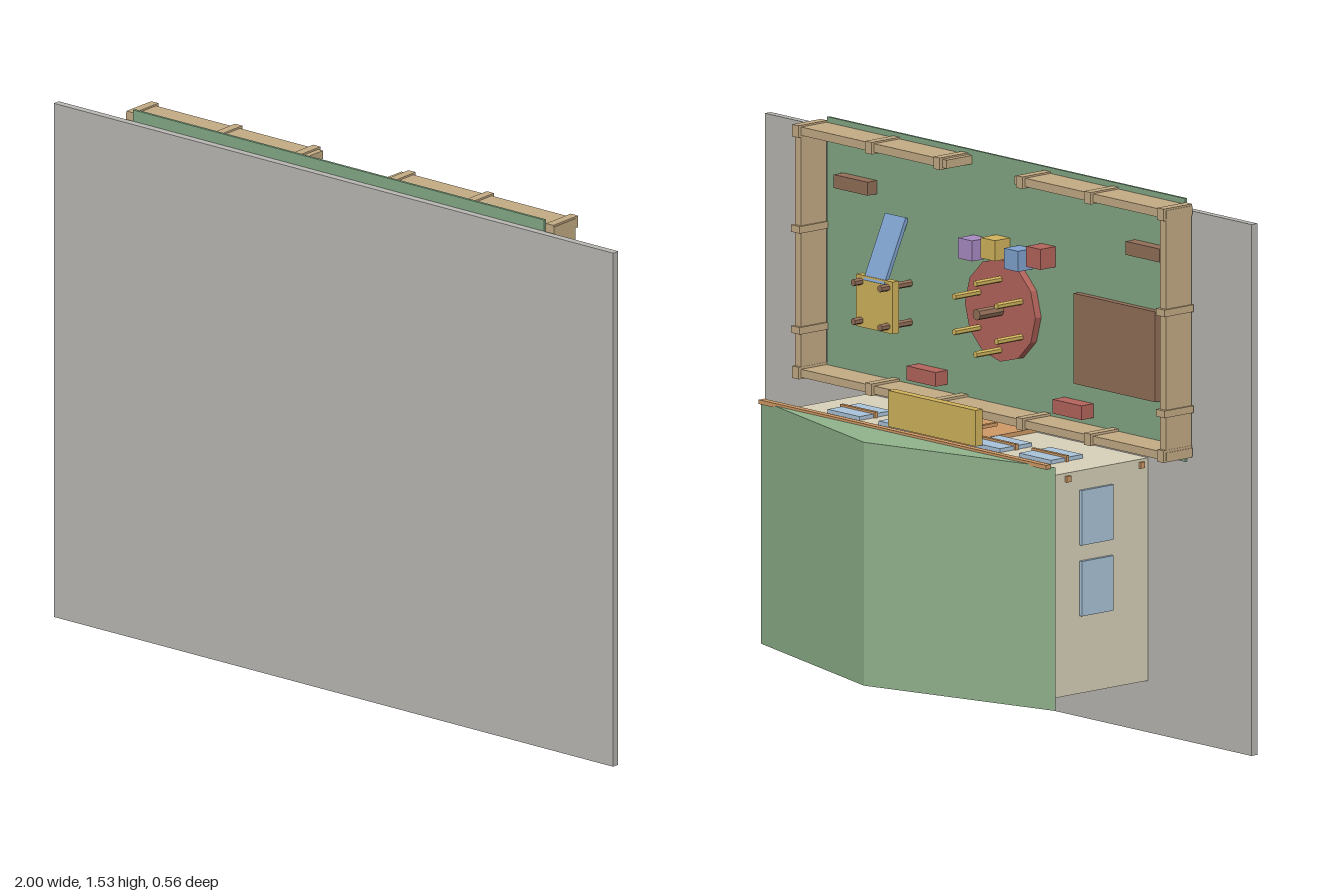
import * as THREE from 'three';

const C = {
  slab: 0xb9b7b2, lawn: 0x83a886, fence: 0xc4ab84, wall: 0xd8d1b9, roof: 0x90b38c,
  glass: 0xaac4da, wood: 0xd09a66, yellow: 0xd2b45c, brown: 0x936f58, red: 0xb5655c,
  blue: 0x7fa3cf, purple: 0xa98cc4, dark: 0x6b4a35,
};

export function createModel() {
  const model = new THREE.Group();
  const mats = {};
  const mat = (c) => (mats[c] ??= new THREE.MeshStandardMaterial({ color: C[c], flatShading: true }));
  const add = (name, color, geo) => {
    const m = new THREE.Mesh(geo, mat(color));
    m.name = name;
    model.add(m);
    return m;
  };
  // box given by its extents on each axis
  const box = (name, color, x0, x1, y0, y1, z0, z1) => {
    const m = add(name, color, new THREE.BoxGeometry(x1 - x0, y1 - y0, z1 - z0));
    m.position.set((x0 + x1) / 2, (y0 + y1) / 2, (z0 + z1) / 2);
    return m;
  };
  // same box on both sides of x = 0
  const pair = (name, color, x0, x1, ...rest) => {
    box(name, color, x0, x1, ...rest);
    box(name, color, -x1, -x0, ...rest);
  };
  // cylinder whose axis runs along z
  const rod = (name, color, r, x, y, z0, z1, sides) => {
    const m = add(name, color, new THREE.CylinderGeometry(r, r, z1 - z0, sides).rotateX(Math.PI / 2));
    m.position.set(x, y, (z0 + z1) / 2);
  };

  // The scene lies on its back: the ground is a plate at +z and "up" is -z
  box('groundSlab', 'slab', -1, 1, 0, 1.5, 0.258, 0.28);
  box('lawn', 'lawn', -0.735, 0.735, 0.79, 1.533, 0.25, 0.258);

  // House
  box('walls', 'wall', -0.575, 0.575, 0.146, 0.775, -0.115, 0.258);
  const gable = new THREE.Shape([[-0.605, 0.115], [0.605, 0.115], [0, 0.28]].map((p) => new THREE.Vector2(...p)));
  const roof = new THREE.ExtrudeGeometry(gable, { depth: 0.687, bevelEnabled: false }).rotateX(-Math.PI / 2);
  add('roof', 'roof', roof).position.y = 0.118;
  box('fascia', 'wood', -0.59, 0.59, 0.8, 0.812, -0.137, -0.117);
  for (const z of [-0.043, 0.232]) pair('wallBracket', 'wood', 0.57, 0.583, 0.75, 0.767, z - 0.008, z + 0.008);

  // Side windows
  for (const y of [0.365, 0.565]) pair('sideWindow', 'glass', 0.57, 0.585, y, y + 0.155, 0.002, 0.121);

  // Front windows with crossbars
  for (const x of [0.184, 0.393]) {
    pair('frontWindow', 'glass', x - 0.066, x + 0.066, 0.77, 0.786, 0.001, 0.12);
    pair('windowBar', 'wood', x - 0.072, x + 0.072, 0.77, 0.792, 0.053, 0.064);
  }

  // Door and canopy
  box('door', 'wood', -0.118, 0.118, 0.77, 0.787, 0, 0.256);
  box('doorWindow', 'glass', -0.048, 0.048, 0.78, 0.791, 0.04, 0.1);
  box('doorTrim', 'dark', -0.09, 0.09, 0.78, 0.791, 0.026, 0.032);
  box('canopy', 'yellow', -0.18, 0.18, 0.785, 0.887, -0.027, 0);
  pair('canopyPost', 'wood', 0.13, 0.142, 0.82, 0.83, 0, 0.09);

  // Coloured tiles above the door
  ['red', 'blue', 'yellow', 'wood'].forEach((c, i) => {
    const x = (i - 1.5) * 0.085;
    box('wallTile', c, x - 0.027, x + 0.027, 0.77, 0.788, -0.094, -0.055);
  });

  // Fence with a gap in the outer run
  box('innerFence', 'fence', -0.765, 0.765, 0.81, 0.833, 0.155, 0.251);
  pair('outerFence', 'fence', 0.14, 0.765, 1.493, 1.517, 0.155, 0.251);
  pair('sideFence', 'fence', 0.738, 0.762, 0.81, 1.517, 0.155, 0.251);
  const post = (x, y, w, d) => pair('fencePost', 'fence', x - w, x + w, y - d, y + d, 0.145, 0.252);
  for (const x of [0.17, 0.45, 0.75]) {
    post(x, 1.505, 0.013, 0.017);
    post(x, 0.823, 0.013, 0.017);
  }
  for (const y of [0.943, 1.228]) post(0.75, y, 0.018, 0.01);

  // Roundabout with centre post and handles
  const cy = 1.105;
  rod('roundabout', 'red', 0.145, 0, cy, 0.228, 0.25, 12);
  rod('roundaboutPost', 'brown', 0.016, 0, cy, 0.14, 0.23, 8);
  for (let i = 0; i < 6; i++) {
    const a = Math.PI / 6 + (i * Math.PI) / 3;
    rod('roundaboutHandle', 'yellow', 0.009, 0.1 * Math.cos(a), cy - 0.012 + 0.1 * Math.sin(a), 0.135, 0.23, 6);
  }

  // Play cubes
  [['purple', 0.105, 1.265], ['yellow', 0.012, 1.28], ['blue', -0.083, 1.265], ['red', -0.175, 1.285]]
    .forEach(([c, x, y]) => box('playCube', c, x - 0.029, x + 0.029, y - 0.029, y + 0.029, 0.193, 0.25));

  // Climbing tower and slide
  box('towerPlatform', 'yellow', 0.372, 0.522, 0.988, 1.135, 0.165, 0.188);
  for (const x of [0.392, 0.502]) for (const y of [1.007, 1.117]) rod('towerPost', 'brown', 0.01, x, y, 0.135, 0.25, 6);
  const slide = add('slide', 'blue', new THREE.BoxGeometry(0.085, 0.195, 0.012));
  slide.position.set(0.447, 1.21, 0.208);
  slide.rotation.x = Math.atan2(0.075, 0.165);

  // Sandpit, benches and planters
  box('sandpit', 'brown', -0.635, -0.3, 0.945, 1.2, 0.23, 0.25);
  pair('bench', 'brown', 0.53, 0.67, 1.347, 1.385, 0.215, 0.25);
  pair('planter', 'red', 0.24, 0.36, 0.855, 0.895, 0.205, 0.25);

  return model;
}
